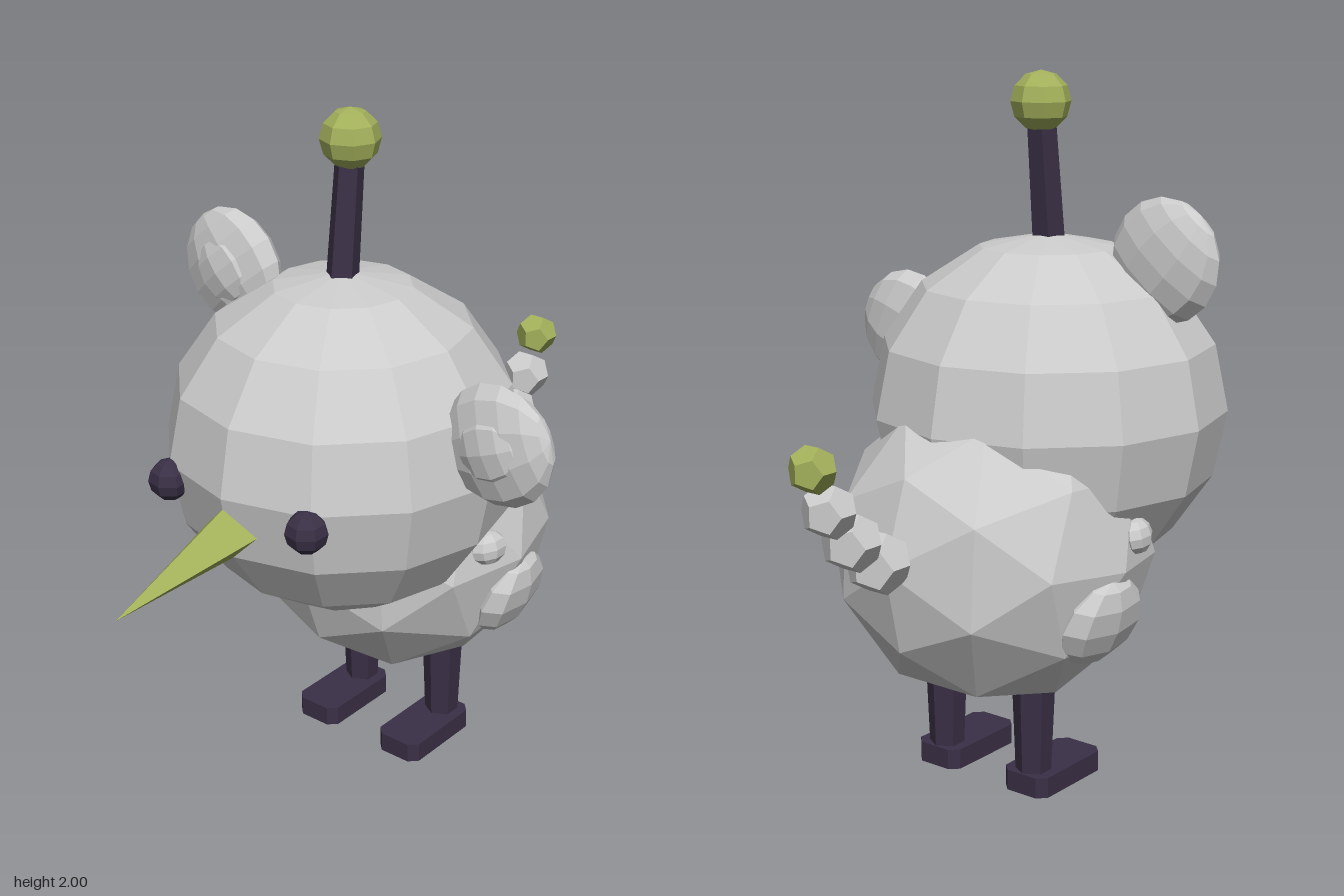
import * as THREE from 'three';

const material = (color) => new THREE.MeshStandardMaterial({ color, flatShading: true });

export function createModel() {
  const grey = material(0xcccccc);
  const dark = material(0x3a3046);
  const green = material(0xa3b05a);

  const model = new THREE.Group();
  model.name = 'roundBird';
  // The whole figure is turned slightly to its right
  const bird = new THREE.Group();
  bird.name = 'bird';
  bird.position.set(-0.08, 0, 0.05);
  bird.rotation.y = -0.27;
  model.add(bird);

  const add = (name, geometry, mat, x, y, z, scale = [1, 1, 1]) => {
    const mesh = new THREE.Mesh(geometry, mat);
    mesh.name = name;
    mesh.position.set(x, y, z);
    mesh.scale.set(...scale);
    bird.add(mesh);
    return mesh;
  };

  // Tapered rod between two points
  const rod = (name, mat, from, to, r0, r1, sides) => {
    const a = new THREE.Vector3(...from);
    const b = new THREE.Vector3(...to);
    const mid = a.clone().add(b).multiplyScalar(0.5);
    const mesh = add(name, new THREE.CylinderGeometry(r1, r0, a.distanceTo(b), sides), mat, mid.x, mid.y, mid.z);
    mesh.quaternion.setFromUnitVectors(new THREE.Vector3(0, 1, 0), b.sub(a).normalize());
    return mesh;
  };

  // Head and body
  const bodyCentre = [0, 0.7, -0.25];
  add('head', new THREE.SphereGeometry(0.5, 12, 8), grey, 0, 1.05, 0, [1.03, 1, 1.03]);
  add('body', new THREE.IcosahedronGeometry(0.455, 1), grey, ...bodyCentre).rotation.x = 0.06;

  // Antenna
  rod('antennaStem', dark, [0, 1.5, 0.005], [0, 1.88, -0.035], 0.048, 0.042, 5);
  add('antennaBall', new THREE.SphereGeometry(0.085, 8, 6), green, 0, 1.915, -0.037);

  // Beak
  rod('beak', green, [0, 0.945, 0.45], [0, 0.86, 0.915], 0.09, 0, 4);

  // Ears, one set higher than the other, each with a raised inner disc
  for (const [side, x, y] of [['left', 0.57, 1.205], ['right', -0.36, 1.495]]) {
    const ear = add(side + 'Ear', new THREE.SphereGeometry(0.175, 10, 8), grey, x, y, 0.05, [1, 1, 0.4]);
    ear.rotation.z = side === 'left' ? -1.2 : 0.7;
    const inner = add(side + 'InnerEar', new THREE.SphereGeometry(0.1, 8, 6), grey, x, y, 0.09, [1, 1, 0.4]);
    inner.rotation.z = ear.rotation.z;
  }

  // Foot outline with cut corners
  const w = 0.075, l = 0.145, c = 0.025;
  const sole = new THREE.Shape([
    [-w + c, -l], [w - c, -l], [w, -l + c], [w, l - c],
    [w - c, l], [-w + c, l], [-w, l - c], [-w, -l + c],
  ].map(([x, y]) => new THREE.Vector2(x, y)));
  const footGeometry = new THREE.ExtrudeGeometry(sole, { depth: 0.06, bevelEnabled: false });
  footGeometry.rotateX(-Math.PI / 2);

  // Mirrored parts
  for (const [side, s] of [['left', 1], ['right', -1]]) {
    add(side + 'Eye', new THREE.SphereGeometry(0.06, 7, 6), dark, s * 0.25, 1.01, 0.455);
    rod(side + 'Leg', dark, [s * 0.16, 0.04, -0.27], [s * 0.16, 0.42, -0.27], 0.05, 0.065, 6);
    add(side + 'Foot', footGeometry, dark, s * 0.16, 0.005, -0.18);

    // Flattened lumps lying on the body surface
    const lump = (name, x, y, z, size, depth) => {
      const mesh = add(name, new THREE.SphereGeometry(1, 8, 6), grey, s * x, y, z, [...size, depth]);
      const away = mesh.position.clone().multiplyScalar(2).sub(new THREE.Vector3(...bodyCentre));
      bird.remove(mesh);
      mesh.lookAt(away);
      bird.add(mesh);
    };
    lump(side + 'Wing', 0.395, 0.56, -0.28, [0.155, 0.13], 0.065);
    lump(side + 'BackSpot', 0.255, 0.85, -0.51, [0.06, 0.06], 0.04);
    lump(side + 'ShoulderSpot', 0.415, 0.77, -0.14, [0.06, 0.05], 0.04);
  }

  // Beaded tail curving upward, with a coloured tip
  const beads = [[0.76, -0.73, 0.09], [0.84, -0.83, 0.083], [0.94, -0.91, 0.075], [1.06, -0.965, 0.065]];
  beads.forEach(([y, z, r], i) => {
    const tip = i === beads.length - 1;
    add(tip ? 'tailTip' : 'tailBead' + (i + 1), new THREE.DodecahedronGeometry(r), tip ? green : grey, 0, y, z);
  });

  return model;
}
